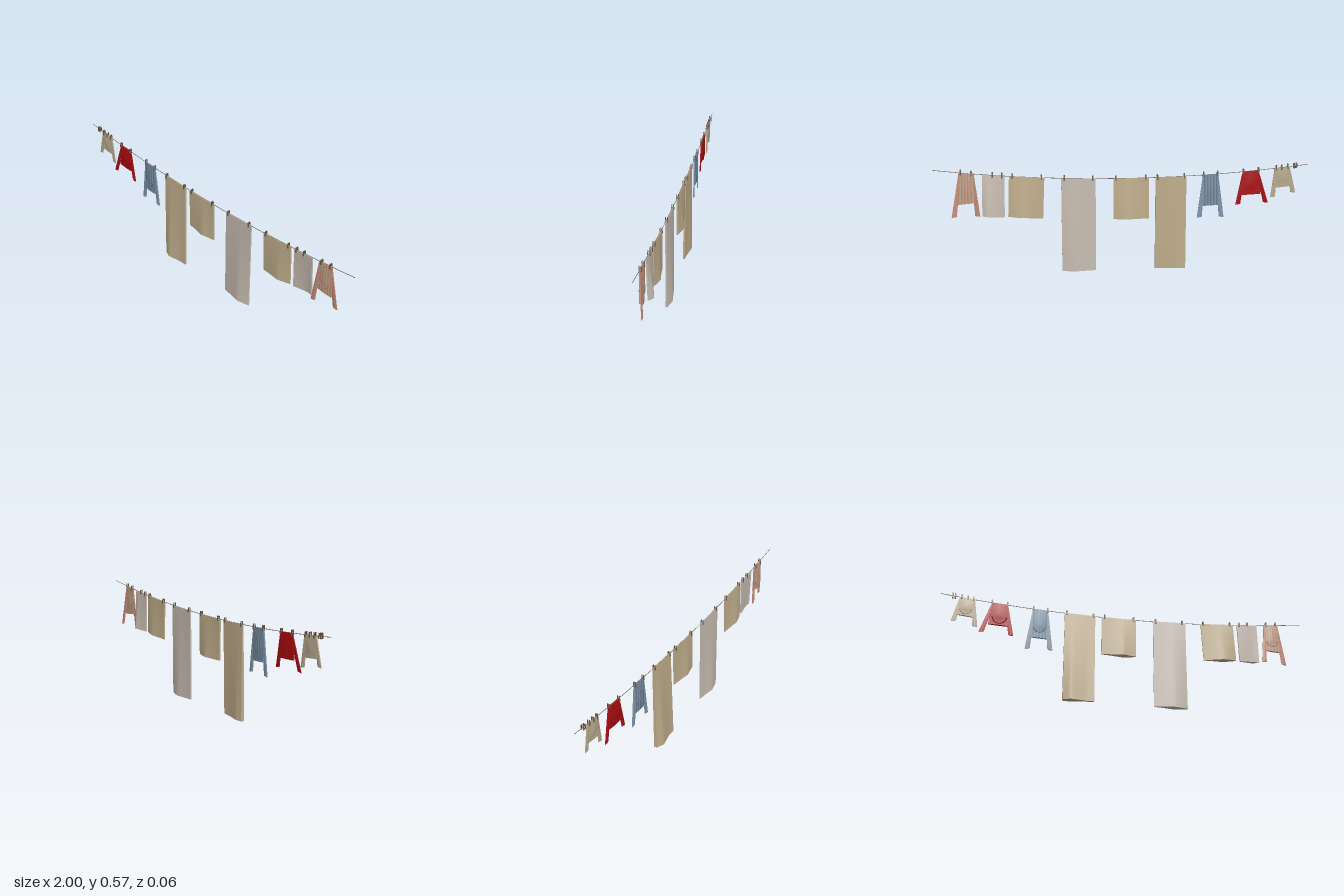
import * as THREE from 'three';

const mat = (name, color) => {
  const m = new THREE.MeshStandardMaterial({ color });
  m.name = name;
  return m;
};
const lerp = THREE.MathUtils.lerp;
const ropeY = (x) => 0.5 + 0.06 * x * x;

// Piecewise linear value of evenly spaced samples at u in 0..1
function sample(list, u) {
  const s = Math.min(Math.max(u, 0), 1) * (list.length - 1);
  const i = Math.min(Math.floor(s), list.length - 2);
  return lerp(list[i], list[i + 1], s - i);
}

// Thin cloth hung from its top edge; corners = [topLeft, topRight, bottomRight, bottomLeft],
// front and back give the depth across the width, swell gives its strength down the height
function cloth(name, material, { corners, front, back, swell = [0, 1], u0 = 0, u1 = 1, cols = 12 }) {
  const g = new THREE.BoxGeometry(1, 1, 1, cols, 10, 1);
  const p = g.attributes.position;
  const [tl, tr, br, bl] = corners;
  for (let i = 0; i < p.count; i++) {
    const u = lerp(u0, u1, p.getX(i) + 0.5);
    const t = 0.5 - p.getY(i);
    const isFront = p.getZ(i) > 0;
    const depth = sample(isFront ? front : back, u);
    const z = lerp(isFront ? 0.004 : -0.004, depth, sample(swell, t));
    const x = lerp(lerp(tl[0], tr[0], u), lerp(bl[0], br[0], u), t);
    const y = lerp(lerp(tl[1], tr[1], u), lerp(bl[1], br[1], u), t);
    p.setXYZ(i, x, y, z);
  }
  g.computeVertexNormals();
  const mesh = new THREE.Mesh(g, material);
  mesh.name = name;
  return mesh;
}

// Jumper hung by its hem, sleeves dangling; stripes alternate two materials
function jumper(name, mats, collarMat, { corners, tips, tipZ, stripes = 1 }) {
  const group = new THREE.Group();
  group.name = name;
  const [tl, tr, br, bl] = corners;
  for (let i = 0; i < stripes; i++) {
    group.add(cloth('body', mats[i % mats.length], {
      corners,
      front: [0.003, 0.007, 0.01, 0.007, 0.003],
      back: [-0.003, -0.006, -0.008, -0.006, -0.003],
      swell: [0, 0.45, 0.85, 1, 0.5, 0.4],
      u0: i / stripes, u1: (i + 1) / stripes,
      cols: stripes > 1 ? 1 : 12,
    }));
  }
  // Sleeves run from beside the hem to the free cuffs
  [[tl, bl, -1], [tr, br, 1]].forEach(([top, bottom, side], k) => {
    const [cx, cy] = tips[k];
    const z = tipZ[k];
    const sx = lerp(top[0], bottom[0], 0.2);
    const sy = lerp(top[1], bottom[1], 0.12);
    const w = 0.027;
    const outer = [[sx, sy], [cx, cy + 0.004]];
    const inner = [[sx - side * 0.012, sy - 0.008], [cx - side * w, cy - 0.002 + 0.01]];
    const [l, r] = side < 0 ? [outer, inner] : [inner, outer];
    group.add(cloth('sleeve', mats[0], {
      corners: [l[0], r[0], r[1], l[1]],
      front: [z + 0.001, z + 0.004, z + 0.001],
      back: [z - 0.001, z - 0.004, z - 0.001],
      cols: 4,
    }));
  });
  // Round neckline band
  const width = br[0] - bl[0];
  const collar = new THREE.Mesh(new THREE.TorusGeometry(width * 0.33, 0.0025, 6, 20, Math.PI), collarMat);
  collar.name = 'neckline';
  collar.rotation.z = Math.PI;
  collar.position.set((bl[0] + br[0]) / 2, lerp((tl[1] + tr[1]) / 2, (bl[1] + br[1]) / 2, 0.63), 0.006);
  group.add(collar);
  return group;
}

export function createModel() {
  const model = new THREE.Group();
  model.name = 'clothesline';

  const rope = mat('rope grey', 0x77726a);
  const wood = mat('peg wood', 0x6b5844);
  const tan = mat('tan linen', 0xbfad8b);
  const pale = mat('pale linen', 0xc6bbb0);
  const cream = mat('cream wool', 0xb8aa8e);
  const red = mat('red wool', 0xab0c10);
  const darkRed = mat('dark red trim', 0x7d090c);
  const blue = mat('blue wool', 0x8096ab);
  const slate = mat('slate blue trim', 0x687c90);
  const salmon = mat('salmon wool', 0xc48a76);

  // Sagging rope
  const pts = [];
  for (let i = 0; i <= 20; i++) {
    const x = -1 + i / 10;
    pts.push(new THREE.Vector3(x, ropeY(x), 0));
  }
  const line = new THREE.Mesh(new THREE.TubeGeometry(new THREE.CatmullRomCurve3(pts), 40, 0.0016, 6), rope);
  line.name = 'rope';
  model.add(line);

  // Sheets and towels folded over the rope
  const lens = [0.003, 0.007, 0.013, 0.02, 0.013, 0.003];
  const lensBack = lens.map((v) => -v);
  const rect = (x0, x1, y0) => [[x0, ropeY(x0)], [x1, ropeY(x1)], [x1, y0], [x0, y0]];
  model.add(
    cloth('longSheetRight', tan, {
      corners: rect(-0.336, -0.17, 0),
      front: [0.012, 0.03, 0.022, 0.015, 0.015], back: [-0.006, -0.012, -0.004, 0.002, 0.004],
    }),
    cloth('towelMiddle', tan, {
      corners: rect(-0.135, 0.055, 0.28),
      front: [0.002, 0.006, 0.012, 0.02, 0.01, 0.004], back: lensBack,
    }),
    cloth('longSheetLeft', pale, { corners: rect(0.15, 0.332, 0), front: lens, back: lensBack }),
    cloth('towelLeft', tan, {
      corners: [[0.42, 0.511], [0.605, 0.522], [0.614, 0.305], [0.43, 0.292]],
      front: lens, back: lensBack,
    }),
    cloth('smallTowel', pale, {
      corners: [[0.628, 0.523], [0.743, 0.532], [0.749, 0.312], [0.635, 0.304]],
      front: [0.002, -0.002, -0.006, -0.008, -0.004], back: [-0.006, -0.014, -0.021, -0.029, -0.012],
    }),
  );

  // Jumpers
  model.add(
    jumper('creamJumper', [cream], cream, {
      corners: [[-0.9, 0.548], [-0.815, 0.54], [-0.82, 0.434], [-0.908, 0.443]],
      tips: [[-0.936, 0.4], [-0.796, 0.378]], tipZ: [0.003, -0.002],
    }),
    jumper('redJumper', [red], darkRed, {
      corners: [[-0.73, 0.532], [-0.642, 0.525], [-0.628, 0.397], [-0.742, 0.403]],
      tips: [[-0.788, 0.346], [-0.606, 0.34]], tipZ: [0.01, 0.002],
    }),
    jumper('blueJumper', [blue, slate], slate, {
      corners: [[-0.51, 0.516], [-0.424, 0.511], [-0.426, 0.342], [-0.516, 0.347]],
      tips: [[-0.543, 0.274], [-0.396, 0.274]], tipZ: [0, 0], stripes: 11,
    }),
    jumper('salmonJumper', [salmon, cream], salmon, {
      corners: [[0.786, 0.538], [0.866, 0.546], [0.876, 0.374], [0.782, 0.383]],
      tips: [[0.76, 0.302], [0.908, 0.304]], tipZ: [0.01, -0.014], stripes: 11,
    }),
  );

  // Two-legged pegs astride the rope, plus two spare ones
  const pegX = [-0.935, -0.922, -0.888, -0.855, -0.825, -0.727, -0.645, -0.505, -0.43, -0.325, -0.18, -0.118,
    0.042, 0.165, 0.315, 0.435, 0.588, 0.642, 0.69, 0.8, 0.855];
  const legGeo = new THREE.BoxGeometry(0.007, 0.028, 0.003);
  for (const x of pegX) {
    const peg = new THREE.Group();
    peg.name = 'peg';
    for (const side of [-1, 1]) {
      const leg = new THREE.Mesh(legGeo, wood);
      leg.name = 'pegLeg';
      leg.position.z = side * 0.0055;
      leg.rotation.x = side * -0.08;
      peg.add(leg);
    }
    peg.position.set(x, ropeY(x) + 0.002, 0);
    model.add(peg);
  }
  return model;
}
